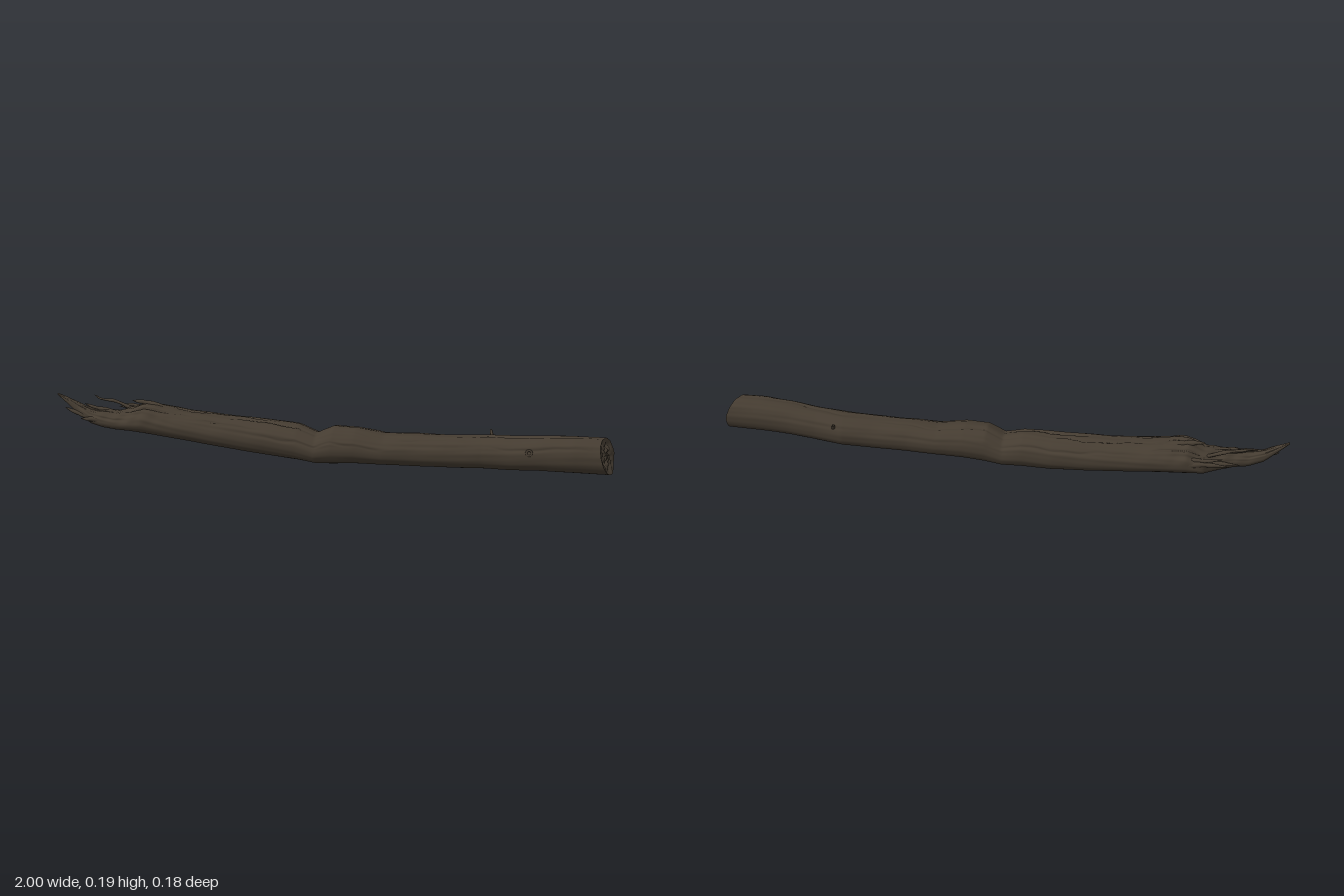
import * as THREE from 'three';

// Log outline along x: [x, bottom y, top y, back z, front z]
const sections = [
  [-1, .184, .19, .002, .012], [-.96, .148, .176, -.01, .016], [-.92, .11, .158, -.016, .02],
  [-.87, .085, .142, -.02, .038], [-.82, .076, .142, -.026, .054], [-.77, .07, .14, -.05, .06],
  [-.72, .066, .15, -.085, .064], [-.66, .06, .176, -.09, .069], [-.6, .055, .166, -.088, .07],
  [-.5, .045, .153, -.084, .07], [-.4, .034, .147, -.082, .07], [-.3, .024, .144, -.081, .071],
  [-.2, .015, .142, -.077, .072], [-.09, .009, .136, -.066, .078], [-.02, .003, .112, -.057, .084],
  [.04, .007, .142, -.056, .087], [.12, .014, .143, -.056, .087], [.22, .017, .128, -.056, .086],
  [.32, .019, .132, -.053, .08], [.45, .022, .135, -.057, .073], [.56, .026, .142, -.064, .068],
  [.66, .03, .147, -.05, .073], [.76, .037, .158, -.043, .077], [.87, .04, .167, -.039, .08],
  [.97, .042, .167, -.038, .079],
];
const profile = new THREE.LinearInterpolant(
  sections.map(s => s[0]), sections.flatMap(s => s.slice(1)), 4, new Float32Array(4));

// Fissures that run along the trunk: [start x, end x, angle, depth]
const fissures = [
  [-.85, -.45, 1.1, .13], [-.7, -.1, 1.75, .12], [-.6, -.2, .75, .08], [-.78, -.5, 2.3, .14],
  [-.4, .05, 1.35, .1], [-.1, .5, 1.9, .08], [.1, .6, .95, .06], [.4, .9, 1.5, .07],
  [.55, .95, .5, .05], [-.3, .3, .3, .05], [-.95, -.72, 1.5, .2], [-.5, .1, 2.6, .06],
];

// Closed-ring surface: at(u, angle) gives each point
function loft(rings, sides, at) {
  const pos = [], index = [];
  for (let i = 0; i <= rings; i++)
    for (let j = 0; j < sides; j++) {
      pos.push(...at(i / rings, j / sides * Math.PI * 2));
      if (i === rings) continue;
      const k = (j + 1) % sides, a = i * sides, b = a + sides;
      index.push(a + j, b + j, a + k, a + k, b + j, b + k);
    }
  const g = new THREE.BufferGeometry();
  g.setAttribute('position', new THREE.Float32BufferAttribute(pos, 3));
  g.setIndex(index);
  g.computeVertexNormals();
  return g;
}

// Bark relief as a fraction of the radius, always inward
function relief(x, a) {
  const upper = THREE.MathUtils.smoothstep(Math.sin(a), -.3, .5);
  const grain = .5 + .3 * Math.sin(11 * a + 3 * Math.sin(2.3 * x)) + .2 * Math.sin(19 * a + 5 * Math.sin(3.1 * x + 1));
  const lumps = .5 + .25 * Math.sin(17 * x + 3 * a) + .25 * Math.sin(41 * x - 2 * a + 1);
  let d = grain * (.012 + .03 * upper) + lumps * (.012 + .025 * upper);
  // Ragged rotten wood toward the broken end
  const rot = THREE.MathUtils.smoothstep(-x, .5, .75) * upper;
  d += rot * .13 * (.5 + .5 * Math.sin(63 * x + 5 * a) * Math.sin(37 * x - 7 * a + 2));
  for (const [x0, x1, angle, depth] of fissures) {
    if (x < x0 || x > x1) continue;
    const t = (x - x0) / (x1 - x0);
    const off = a - angle - .07 * Math.sin(21 * x + angle * 5) - .03 * Math.sin(57 * x);
    d += depth * Math.sin(Math.PI * t) * Math.exp(-((off / .055) ** 2));
  }
  return d;
}

function trunkPoint(u, a) {
  const x = -1 + 1.97 * u;
  const [y0, y1, z0, z1] = profile.evaluate(x);
  const soft = c => Math.sign(c) * Math.abs(c) ** .92;
  const s = 1 - relief(x, a);
  const y = (y0 + y1) / 2 + (y1 - y0) / 2 * s * soft(Math.sin(a));
  const z = (z0 + z1) / 2 + (z1 - z0) / 2 * s * soft(Math.cos(a));
  // The sawn end leans: longest at the lower back
  const w = THREE.MathUtils.smoothstep(x, .8, .97);
  const lean = .01 - .35 * (z - .02) - .3 * (y - .1);
  return [Math.min(1, x + w * lean), y, z];
}

// Rough end face closing inward from the trunk's rim
function endPoint(u, a) {
  const [x, y, z] = trunkPoint(1, a), c = [.975, .105, .02];
  const dent = Math.sin(Math.PI * u) * (.006 + .004 * Math.sin(5 * a + 9 * u) + .003 * Math.sin(9 * a - 14 * u));
  return [x + (c[0] - x) * u - dent, y + (c[1] - y) * u, z + (c[2] - z) * u];
}

// Tapered sliver from its tip to its buried root
function splinter(points, radius, flat) {
  const curve = new THREE.CatmullRomCurve3(points.map(p => new THREE.Vector3(...p)));
  return loft(14, 8, (u, a) => {
    const p = curve.getPoint(u), r = radius * (.08 + .92 * u ** .6) * (1 + .15 * Math.sin(17 * u + 2 * a));
    return [p.x, p.y + r * flat * Math.sin(a), p.z + r * Math.cos(a)];
  });
}

export function createModel() {
  const bark = new THREE.MeshStandardMaterial({ color: 0x453c31 });
  const endWood = new THREE.MeshStandardMaterial({ color: 0x483f34 });
  bark.name = 'bark brown';
  endWood.name = 'end wood brown';

  const group = new THREE.Group();
  group.name = 'fallenLog';
  const add = (name, geometry, material = bark) => {
    const m = new THREE.Mesh(geometry, material);
    m.name = name;
    group.add(m);
    return m;
  };

  add('trunk', loft(320, 96, trunkPoint));
  add('endFace', loft(10, 96, endPoint), endWood);

  // Slivers at the broken end
  const slivers = [
    [[[-.88, .178, -.042], [-.85, .166, -.034], [-.8, .16, -.04], [-.72, .13, -.04]], .009, .8],
    [[[-.8, .125, -.084], [-.75, .126, -.082], [-.7, .12, -.078], [-.62, .11, -.07]], .012, 1],
    [[[-.78, .14, -.065], [-.74, .138, -.075], [-.68, .13, -.068], [-.6, .12, -.06]], .012, .8],
    [[[-.97, .14, .016], [-.93, .125, .018], [-.88, .115, .02], [-.8, .11, .02]], .014, 1],
    [[[-.9, .155, .0], [-.86, .145, .005], [-.81, .135, .0], [-.74, .12, .0]], .012, .9],
    [[[-.9, .11, .042], [-.86, .11, .04], [-.8, .11, .038], [-.72, .11, .036]], .014, 1.1],
    [[[-.72, .172, -.02], [-.68, .17, -.02], [-.63, .16, -.02], [-.55, .14, -.02]], .018, .8],
    [[[-.84, .112, -.045], [-.79, .112, -.045], [-.74, .112, -.045], [-.68, .11, -.045]], .012, 1],
  ];
  for (const [points, radius, flat] of slivers) add('splinter', splinter(points, radius, flat));

  // Twig stub at the back and a knot on the front
  const stub = add('twigStub', new THREE.CylinderGeometry(.004, .008, .045, 8));
  stub.position.set(.585, .122, -.058);
  stub.rotation.set(-.75, 0, .25);
  const knot = add('knot', new THREE.TorusGeometry(.009, .004, 8, 16));
  knot.position.set(.72, .112, .07);
  knot.rotation.x = -.25;

  return group;
}
